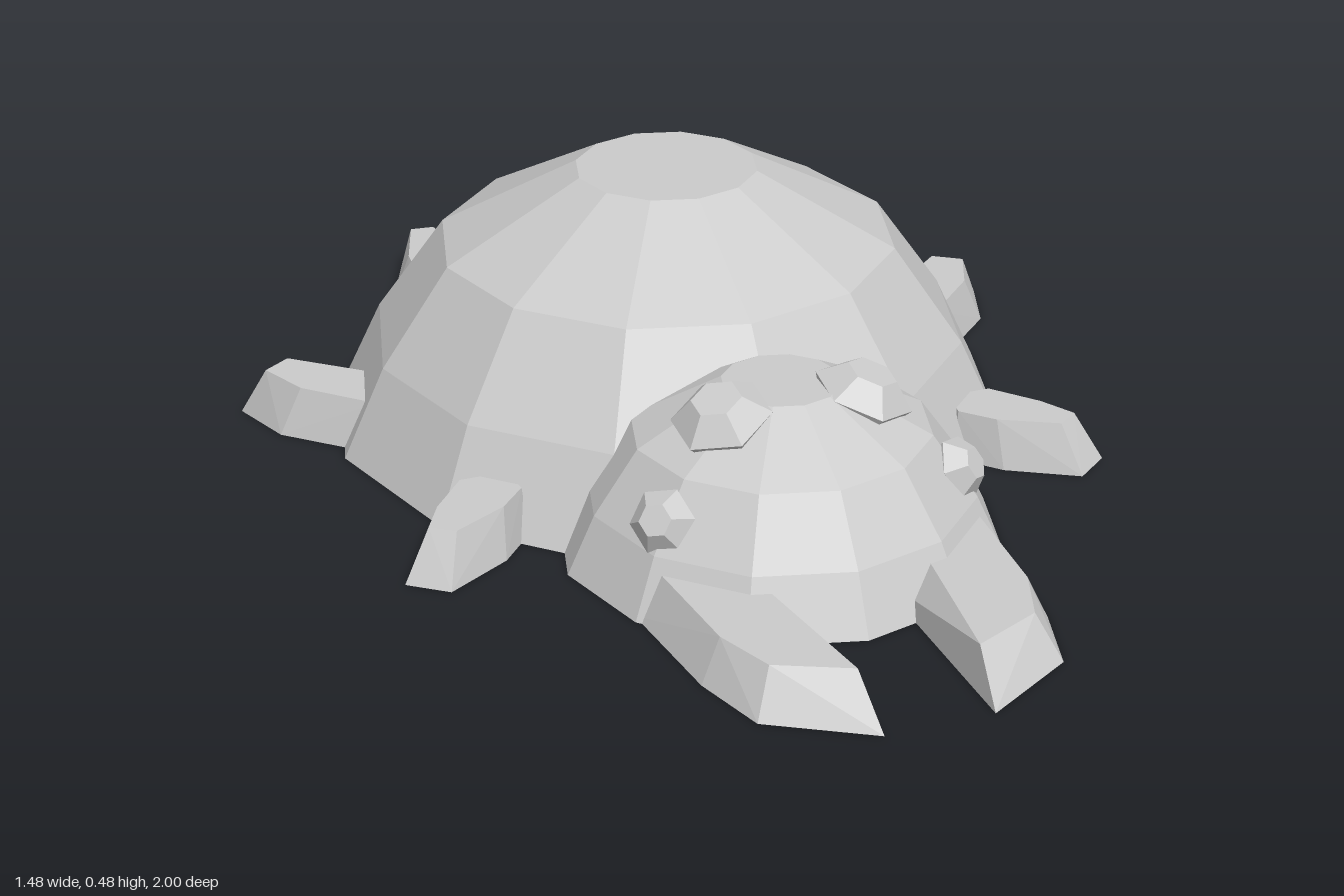
import * as THREE from 'three';
import { ConvexGeometry } from 'three/addons/geometries/ConvexGeometry.js';

const material = new THREE.MeshStandardMaterial({ color: 0xcccccc, flatShading: true });

// Closed faceted dome from [radius, height] rings
function dome(name, rings, sides) {
  const profile = [[0, 0], ...rings, [0, rings.at(-1)[1]]].map(([r, y]) => new THREE.Vector2(r, y));
  const mesh = new THREE.Mesh(new THREE.LatheGeometry(profile, sides), material);
  mesh.name = name;
  return mesh;
}

// Flat-bottomed limb tapering from a base outline to a smaller top outline, both [x, z]
function limb(name, side, height, base, top) {
  const points = [
    ...base.map(([x, z]) => new THREE.Vector3(side * x, 0, z)),
    ...top.map(([x, z]) => new THREE.Vector3(side * x, height, z)),
  ];
  const mesh = new THREE.Mesh(new ConvexGeometry(points), material);
  mesh.name = name;
  return mesh;
}

// Six-sided eye whose axis follows the given normal
function eye(name, side, radius, height, [x, y, z], [nx, ny, nz]) {
  const mesh = dome(name, [[radius * 0.85, 0], [radius, height * 0.35], [radius * 0.5, height]], 6);
  mesh.position.set(side * x, y, z);
  mesh.quaternion.setFromUnitVectors(
    new THREE.Vector3(0, 1, 0), new THREE.Vector3(side * nx, ny, nz).normalize());
  return mesh;
}

export function createModel() {
  const model = new THREE.Group();
  model.name = 'beetle';

  // Body shell and the smaller head of the same shape
  const rings = [[0.617, 0], [0.54, 0.165], [0.415, 0.342], [0.165, 0.476]];
  const body = dome('bodyShell', rings, 12);
  body.position.z = -0.222;
  const head = dome('head', rings, 12);
  head.scale.setScalar(0.624);
  head.position.z = 0.33;
  model.add(body, head);

  for (const [label, side] of [['left', 1], ['right', -1]]) {
    model.add(
      // Legs
      limb(label + 'BackLeg', side, 0.09,
        [[0.17, -0.6], [0.17, -0.825], [0.195, -0.99], [0.275, -1], [0.34, -0.857], [0.36, -0.7], [0.33, -0.6]],
        [[0.21, -0.6], [0.2, -0.82], [0.22, -0.97], [0.265, -0.975], [0.307, -0.85], [0.325, -0.68], [0.29, -0.6]]),
      limb(label + 'MiddleLeg', side, 0.09,
        [[0.45, -0.23], [0.5, -0.37], [0.677, -0.52], [0.742, -0.476], [0.7, -0.355], [0.575, -0.235]],
        [[0.45, -0.25], [0.5, -0.35], [0.65, -0.48], [0.7, -0.445], [0.66, -0.35], [0.55, -0.24]]),
      limb(label + 'FrontLeg', side, 0.09,
        [[0.4, 0.08], [0.51, 0.08], [0.59, 0.17], [0.65, 0.265], [0.585, 0.317], [0.465, 0.245], [0.4, 0.17]],
        [[0.42, 0.1], [0.5, 0.1], [0.565, 0.18], [0.6, 0.245], [0.56, 0.275], [0.46, 0.22], [0.41, 0.165]]),
      // Mandible
      limb(label + 'Mandible', side, 0.077,
        [[0.095, 0.5], [0.328, 0.5], [0.305, 0.75], [0.265, 0.89], [0.095, 0.995]],
        [[0.16, 0.5], [0.288, 0.5], [0.27, 0.74], [0.23, 0.85], [0.105, 0.91]]),
      // Eyes
      eye(label + 'LargeEye', side, 0.088, 0.062, [0.122, 0.257, 0.379], [0.3, 0.92, 0.18]),
      eye(label + 'SmallEye', side, 0.058, 0.05, [0.257, 0.143, 0.463], [0.6, 0.45, 0.6]),
    );
  }
  return model;
}
